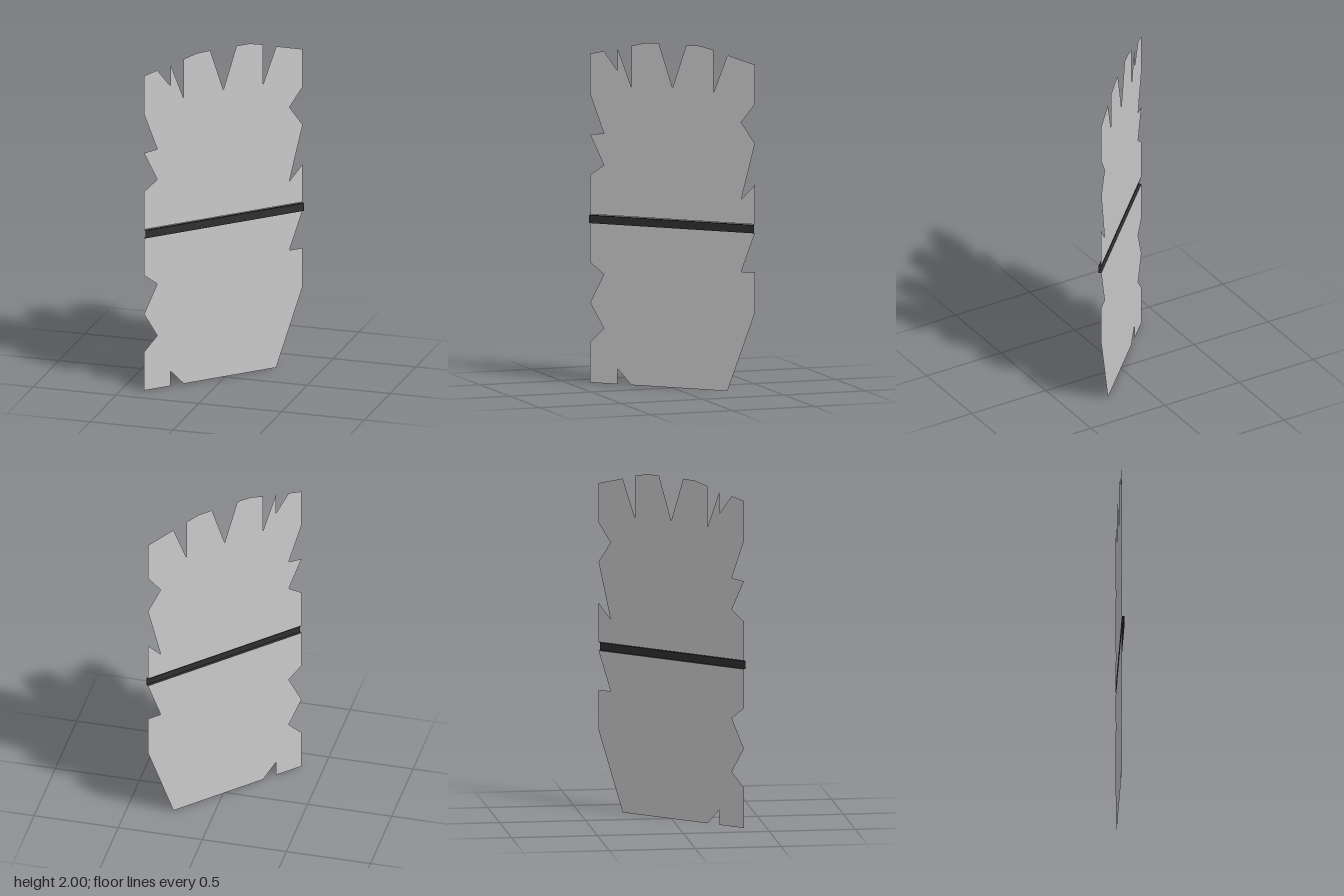
import * as THREE from 'three';

const STEP = 1.04 / 12; // the jagged outline sits on 12 equal columns

// Flat sheet from [column, height] pairs
function sheet(name, points, material) {
  const shape = new THREE.Shape(points.map(([c, y]) => new THREE.Vector2((c - 6) * STEP, y)));
  const mesh = new THREE.Mesh(new THREE.ShapeGeometry(shape), material);
  mesh.name = name;
  return mesh;
}

export function createModel() {
  const model = new THREE.Group();
  model.name = 'tornPanel';
  const grey = new THREE.MeshStandardMaterial({ color: 0xcccccc, side: THREE.DoubleSide });
  const dark = new THREE.MeshStandardMaterial({ color: 0x303030, side: THREE.DoubleSide });

  // Whole panel stands diagonally
  const panel = new THREE.Group();
  panel.name = 'panel';
  panel.position.set(-0.0075, 0, -0.0025);
  panel.rotation.y = Math.atan2(0.745, 0.725);
  model.add(panel);

  // Upper sheet with ragged top
  panel.add(sheet('upperSheet', [
    [0, 0.98], [12, 0.98], [12, 1.21], [11, 1.12], [12, 1.45], [11, 1.57], [12, 1.68],
    [12, 1.91], [10, 1.955], [9, 1.735], [9, 1.98], [8, 2], [7, 2], [6, 1.745],
    [5, 2], [4, 1.997], [3, 1.975], [3, 1.735], [2, 1.955], [2, 1.825], [1, 1.935],
    [0, 1.915], [0, 1.68], [1, 1.455], [0, 1.445], [1, 1.27], [0, 1.21],
  ], grey));

  // Lower sheet
  panel.add(sheet('lowerSheet', [
    [0, 0.93], [0, 0.7], [1, 0.635], [0, 0.465], [1, 0.32], [0, 0.235], [0, 0],
    [2, 0], [2, 0.09], [3, 0], [10, 0], [12, 0.465], [12, 0.7], [11, 0.7], [12, 0.93],
  ], grey));

  // Open-ended raised band bridging the gap: front, top and underside
  const band = new THREE.Group();
  band.name = 'band';
  const depth = 0.0155, low = 0.93, high = 0.977;
  const addFace = (name, height, y, z, tilt) => {
    const mesh = new THREE.Mesh(new THREE.PlaneGeometry(1.04, height), dark);
    mesh.name = name;
    mesh.position.set(0, y, z);
    mesh.rotation.x = tilt;
    band.add(mesh);
  };
  addFace('bandFront', high - low, (high + low) / 2, depth, 0);
  addFace('bandTop', depth, high, depth / 2, -Math.PI / 2);
  addFace('bandUnderside', depth, low, depth / 2, Math.PI / 2);
  panel.add(band);

  return model;
}
